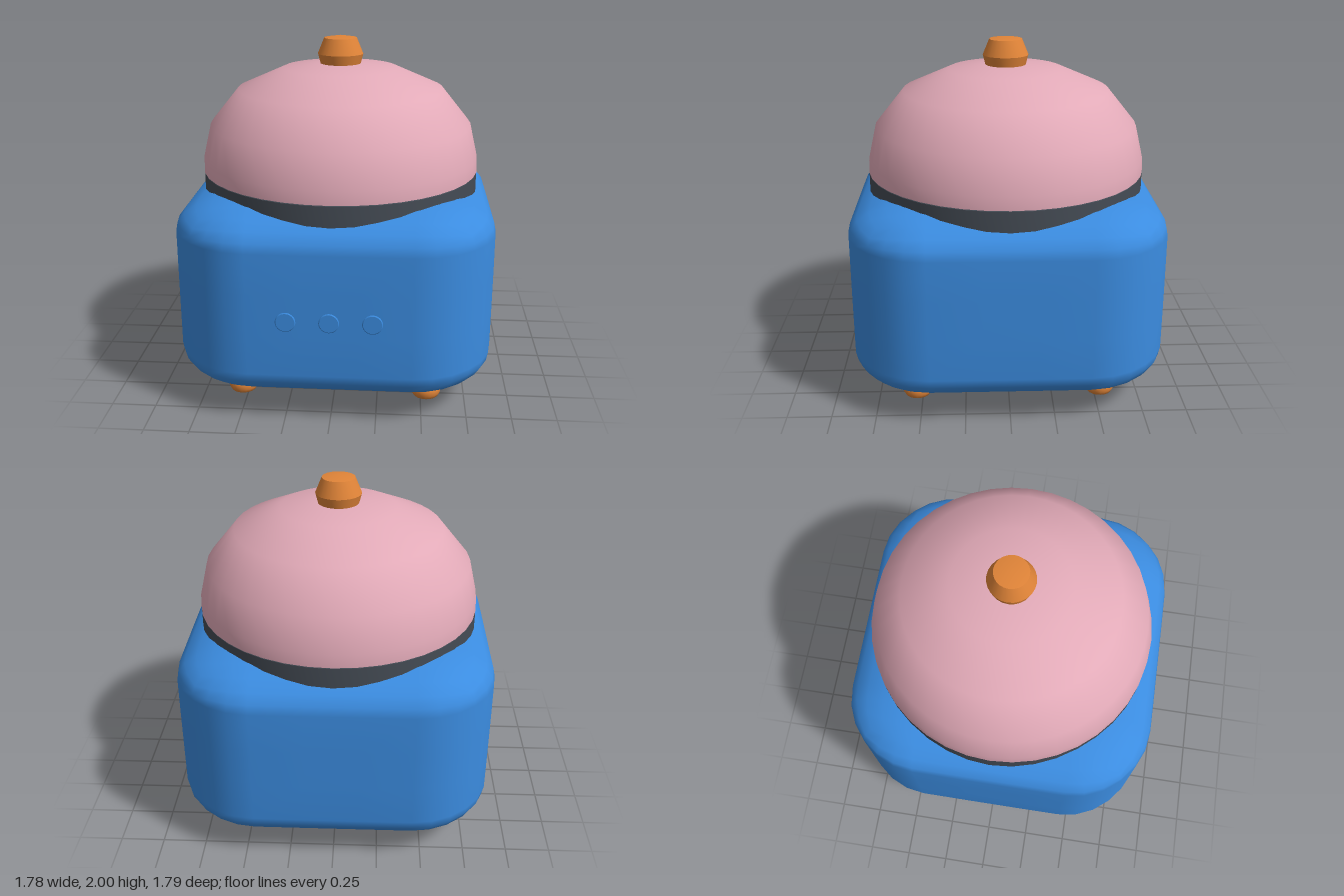
import * as THREE from 'three';
import { mergeVertices, toCreasedNormals } from 'three/addons/utils/BufferGeometryUtils.js';

const mat = (name, color) => {
  const m = new THREE.MeshStandardMaterial({ color });
  m.name = name;
  return m;
};

// Soft box: each grid vertex becomes a point on a flat core plus a rounded offset
function softBox(core, radius, bulge) {
  const geo = new THREE.BoxGeometry(2, 2, 2, 9, 9, 9);
  geo.deleteAttribute('normal');
  geo.deleteAttribute('uv');
  const pos = geo.attributes.position;
  const p = new THREE.Vector3();
  const bend = (t) => Math.sign(t) * Math.tan(Math.max(Math.abs(t) - 1 / 3, 0) * 1.5 * Math.PI / 4);
  for (let i = 0; i < pos.count; i++) {
    p.fromBufferAttribute(pos, i);
    const flat = p.clone().multiplyScalar(3).clampScalar(-1, 1);
    const dir = new THREE.Vector3(bend(p.x), bend(p.y), bend(p.z));
    const e = 2.25;
    const len = Math.pow(Math.pow(Math.hypot(dir.x, dir.z), e) + Math.pow(Math.abs(dir.y), e), 1 / e);
    dir.divideScalar(len);
    // faces swell gently towards their middles
    const swell = (a, b) => bulge * (1 - a * a) * (1 - b * b);
    pos.setXYZ(i,
      flat.x * core.x + dir.x * (radius.x + swell(p.y, p.z)),
      flat.y * core.y + dir.y * (radius.y + swell(p.x, p.z)),
      flat.z * core.z + dir.z * (radius.z + swell(p.x, p.y)));
  }
  const smooth = mergeVertices(geo, 1e-4);
  smooth.computeVertexNormals();
  return smooth;
}

const lathe = (points, segments) =>
  new THREE.LatheGeometry(points.map(([x, y]) => new THREE.Vector2(x, y)), segments);

export function createModel() {
  const model = new THREE.Group();
  const blue = mat('blueShell', 0x3b8ce0);
  const pink = mat('pinkDome', 0xe2aab8);
  const orange = mat('orangeTrim', 0xe08438);
  const dark = mat('darkSeal', 0x454c55);

  const add = (name, geometry, material, x = 0, y = 0, z = 0) => {
    const mesh = new THREE.Mesh(geometry, material);
    mesh.name = name;
    mesh.position.set(x, y, z);
    model.add(mesh);
    return mesh;
  };

  // Body
  add('body', softBox(new THREE.Vector3(0.44, 0.345, 0.44),
    new THREE.Vector3(0.442, 0.2, 0.442), 0.01), blue, 0, 0.645);

  // Seal ring between body and lid
  add('sealRing', toCreasedNormals(lathe(
    [[0, 1.05], [0.805, 1.05], [0.805, 1.23], [0.798, 1.238], [0, 1.238]], 40), 0.6), dark);

  // Domed lid
  add('domeLid', lathe([[0.806, 1.235], [0.803, 1.31], [0.758, 1.5], [0.595, 1.7],
    [0.33, 1.817], [0.12, 1.84], [0, 1.845]], 40), pink);

  // Knob on the lid
  add('knob', toCreasedNormals(lathe([[0, 1.82], [0.112, 1.82], [0.118, 1.845], [0.131, 1.895],
    [0.094, 1.985], [0, 2]], 24), 0.6), orange);

  // Feet
  const footGeo = lathe([[0, 0], [0.045, 0.003], [0.072, 0.015], [0.085, 0.038], [0.085, 0.067],
    [0.072, 0.09], [0.045, 0.102], [0, 0.105]], 20);
  for (const x of [-0.53, 0.53]) {
    for (const z of [-0.53, 0.53]) add('foot', footGeo, orange, x, 0, z);
  }

  // Front buttons
  const buttonGeo = toCreasedNormals(lathe(
    [[0, -0.03], [0.055, -0.03], [0.055, 0.003], [0.05, 0.007], [0, 0.007]], 24), 0.6);
  for (const x of [-0.23, 0, 0.23]) {
    add('button', buttonGeo, blue, x, 0.615, 0.89).rotation.x = Math.PI / 2;
  }

  return model;
}
